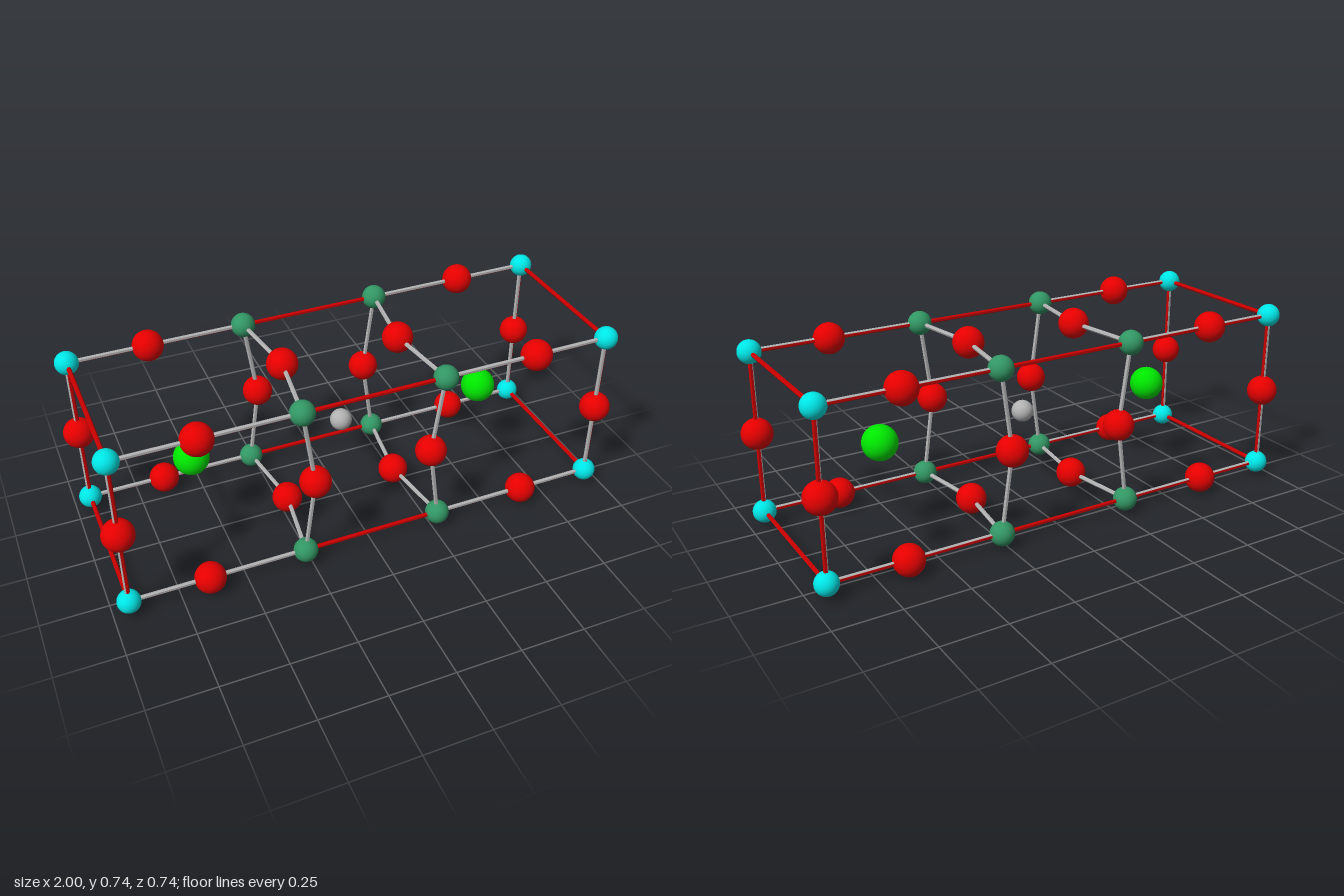
import * as THREE from 'three';

export function createModel() {
  const model = new THREE.Group();
  model.name = 'crystalCell';
  const mat = (name, color) => {
    const m = new THREE.MeshStandardMaterial({ color });
    m.name = name;
    return m;
  };
  const cyan = mat('cyan', 0x00e6e6);
  const red = mat('red', 0xe60000);
  const green = mat('bright green', 0x00e600);
  const seaGreen = mat('sea green', 0x329664);
  const grey = mat('grey', 0xb2b2b2);
  const edgeRed = mat('edge red', 0xcc0000);

  // Half sizes of the cell and its centre height
  const X = 0.94, Y = 0.313, Z = 0.308, CY = 0.372;
  const XD = 0.272, XO = 0.641, XI = 0.229, XG = 0.594, R = 0.0085;
  const signs = [-1, 1];

  function ball(name, r, material, x, y, z) {
    const m = new THREE.Mesh(new THREE.SphereGeometry(r, 32, 20), material);
    m.name = name;
    m.position.set(x, y, z);
    model.add(m);
  }
  // Six-sided rod with flat faces between two points
  function rod(name, material, a, b, offset = [0, 0, 0]) {
    const o = new THREE.Vector3(...offset);
    const p = new THREE.Vector3(...a).add(o), q = new THREE.Vector3(...b).add(o);
    const d = q.clone().sub(p);
    const g = new THREE.CylinderGeometry(R, R, d.length(), 6, 1, false, Math.PI / 6).toNonIndexed();
    g.computeVertexNormals();
    const m = new THREE.Mesh(g, material);
    m.name = name;
    m.position.copy(p).add(q).multiplyScalar(0.5);
    m.quaternion.setFromUnitVectors(new THREE.Vector3(0, 1, 0), d.normalize());
    model.add(m);
  }

  // Centre atoms
  ball('centreAtom', 0.042, grey, 0, 0, 0);
  for (const s of signs) ball('largeAtom', 0.0665, green, s * XG, 0, 0);

  // Long edges: atoms, cell edge and the bonds lying along it
  for (const sy of signs) for (const sz of signs) {
    const y = sy * Y, z = sz * Z;
    rod('longCellEdge', edgeRed, [-X, y, z], [X, y, z]);
    for (const sx of signs) {
      ball('cornerAtom', 0.0437, cyan, sx * X, y, z);
      ball('innerCornerAtom', 0.046, seaGreen, sx * XD, y, z);
      ball('longEdgeAtom', 0.0585, red, sx * XO, y, z);
      rod('longEdgeBond', grey, [sx * X, y, z], [sx * XD, y, z], [0, 0.0015, 0.0012]);
      // Bent bonds of the inner rings
      rod('ringBond', grey, [sx * XD, y, z], [sx * XI, 0, z]);
      rod('ringBond', grey, [sx * XD, y, z], [sx * XI, y, 0]);
    }
  }

  // End frames and inner ring atoms
  for (const sx of signs) for (const s of signs) {
    const x = sx * X, z = s * Z, y = s * Y;
    rod('uprightCellEdge', edgeRed, [x, -Y, z], [x, Y, z]);
    rod('uprightBond', grey, [x, -Y, z], [x, Y, z], [-0.002, 0, sx * 0.001]);
    rod('endCellEdge', edgeRed, [x, y, -Z], [x, y, Z]);
    ball('uprightEdgeAtom', 0.0585, red, x, 0, z);
    ball('ringSideAtom', 0.0585, red, sx * XI, 0, z);
    ball('ringLevelAtom', 0.0585, red, sx * XI, y, 0);
  }

  // The whole cell is turned very slightly
  model.rotation.y = 0.0055;
  model.position.y = CY;
  const root = new THREE.Group();
  root.name = 'crystalModel';
  root.add(model);
  return root;
}
